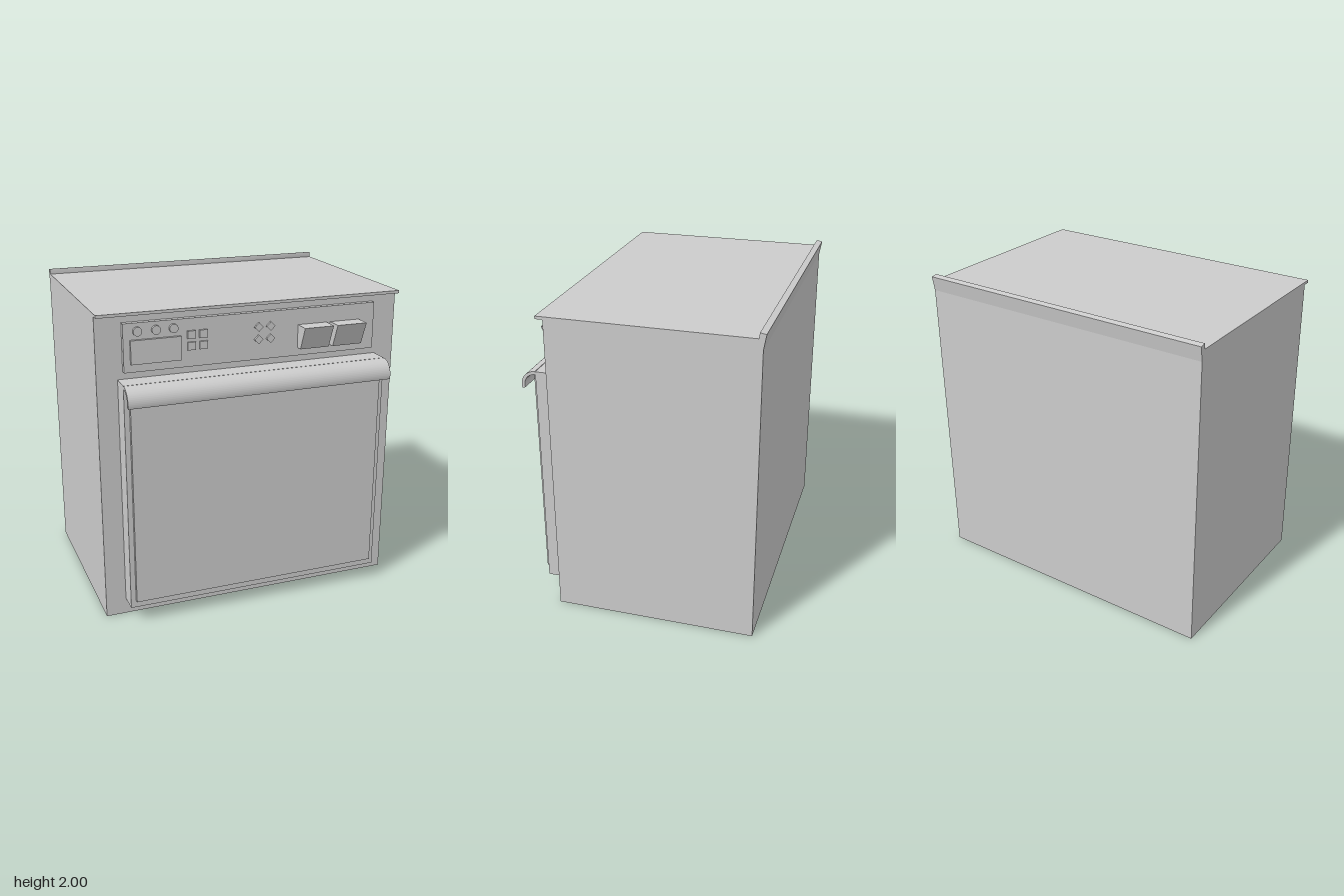
import * as THREE from 'three';
import { toCreasedNormals } from 'three/addons/utils/BufferGeometryUtils.js';

const material = new THREE.MeshStandardMaterial({ color: 0xcccccc });

export function createModel() {
  const model = new THREE.Group();
  model.name = 'oven';

  const add = (name, geometry) => {
    const mesh = new THREE.Mesh(geometry, material);
    mesh.name = name;
    model.add(mesh);
    return mesh;
  };

  // Box given by its limits on each axis
  const box = (name, x0, x1, y0, y1, z0, z1) => {
    const mesh = add(name, new THREE.BoxGeometry(x1 - x0, y1 - y0, z1 - z0));
    mesh.position.set((x0 + x1) / 2, (y0 + y1) / 2, (z0 + z1) / 2);
    return mesh;
  };

  // Side profile drawn as (z, y), swept from x0 to x1
  const sweep = (name, shape, x0, x1) => {
    let geometry = new THREE.ExtrudeGeometry(shape, { depth: x1 - x0, bevelEnabled: false, curveSegments: 24 });
    geometry.rotateY(-Math.PI / 2); // shape x -> +z, depth -> -x
    geometry.translate(x1, 0, 0);
    return add(name, toCreasedNormals(geometry, 0.6));
  };
  const polygon = (...points) => new THREE.Shape(points.map(([z, y]) => new THREE.Vector2(z, y)));

  // Cabinet, worktop and rear upstand
  box('cabinet', -0.98, 0.975, 0, 1.95, -0.742, 0.537);
  box('worktop', -0.98, 0.975, 1.947, 1.965, -0.742, 0.585);
  sweep('rearUpstand',
    polygon([-0.742, 1.9], [-0.715, 1.95], [-0.72, 2], [-0.758, 1.993]), -0.98, 0.975);

  // Control panel
  box('controlPanel', -0.82, 0.81, 1.605, 1.9, 0.53, 0.57);
  box('display', -0.78, -0.47, 1.655, 1.8, 0.56, 0.588);
  for (const x of [-0.735, -0.622, -0.515]) {
    const knob = add('knob', new THREE.CylinderGeometry(0.027, 0.027, 0.03, 24));
    knob.rotation.x = Math.PI / 2;
    knob.position.set(x, 1.85, 0.572);
  }
  for (const x of [-0.405, -0.33]) {
    for (const y of [1.802, 1.733]) {
      box('squareButton', x - 0.025, x + 0.025, y - 0.024, y + 0.024, 0.56, 0.584);
    }
  }
  for (const x of [0.024, 0.102]) {
    for (const y of [1.81, 1.733]) {
      const button = box('diamondButton', x - 0.02, x + 0.02, y - 0.02, y + 0.02, 0.56, 0.584);
      button.rotation.z = Math.PI / 4;
    }
  }

  // Wedge-shaped pulls
  for (const [x0, x1] of [[0.287, 0.48], [0.507, 0.705]]) {
    sweep('wedgePull', polygon([0.56, 1.655], [0.615, 1.655], [0.675, 1.8], [0.56, 1.8]), x0, x1);
  }

  // Door and raised inner panel
  box('door', -0.852, 0.845, 0.105, 1.56, 0.53, 0.666);
  box('doorPanel', -0.82, 0.81, 0.152, 1.54, 0.66, 0.69);

  // Curled full-width handle
  const handle = new THREE.Shape();
  const end = -0.28;
  handle.moveTo(0.66, 1.56);
  handle.absarc(0.67, 1.47, 0.09, Math.PI / 2, end, true);
  handle.absarc(0.67, 1.47, 0.07, end, Math.PI / 2, false);
  handle.lineTo(0.66, 1.54);
  handle.closePath();
  sweep('handle', handle, -0.852, 0.845);

  return model;
}
